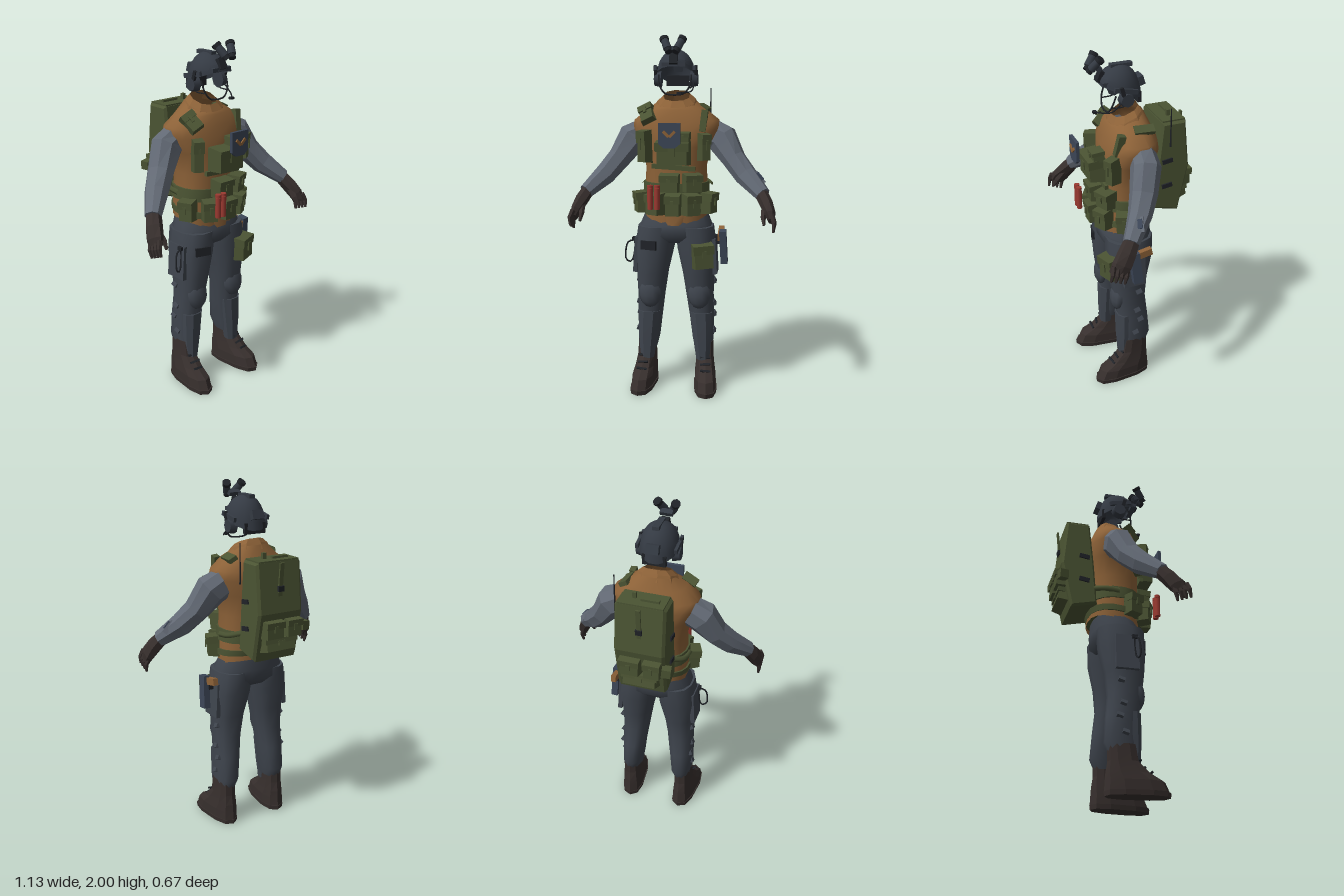
import * as THREE from 'three';
import { toCreasedNormals } from 'three/addons/utils/BufferGeometryUtils.js';

const mat = (name, color, side = THREE.FrontSide) => Object.assign(new THREE.MeshStandardMaterial({ color, side }), { name });
const M = {
  pants: mat('charcoal trousers', 0x3f454e),
  sleeve: mat('slate sleeve', 0x626974),
  jacket: mat('tan jacket', 0x8d6238, THREE.DoubleSide),
  olive: mat('olive webbing', 0x4b5433),
  leather: mat('dark leather', 0x372f2d),
  helmet: mat('helmet grey', 0x343a43, THREE.DoubleSide),
  black: mat('black fittings', 0x202328),
  red: mat('flare red', 0x9c3a31),
  panel: mat('panel blue', 0x3c4657),
};

function add(parent, name, geo, material, pos = [0, 0, 0], rot = [0, 0, 0]) {
  const m = new THREE.Mesh(geo, material);
  m.name = name;
  m.position.set(...pos);
  m.rotation.set(...rot);
  parent.add(m);
  return m;
}
function part(parent, name, pos = [0, 0, 0], rot = [0, 0, 0]) {
  const g = new THREE.Group();
  g.name = name;
  g.position.set(...pos);
  g.rotation.set(...rot);
  parent.add(g);
  return g;
}
const box = (parent, name, size, material, pos, rot) => add(parent, name, new THREE.BoxGeometry(...size), material, pos, rot);
const vec = (a) => new THREE.Vector3(...a);
const tube = (pts, r, closed = false) => new THREE.TubeGeometry(new THREE.CatmullRomCurve3(pts.map(vec), closed), 16, r, 5, closed);

// Skin over rounded cross-sections; each row is [x, y, z, radiusU, radiusV, frontSlope]
function loft(rows, { n = 12, level = true, caps = true, power = 0.85, crease = 0.9 } = {}) {
  const P = [], I = [], c = rows.map((r) => vec(r));
  const soft = (v) => Math.sign(v) * Math.abs(v) ** power;
  rows.forEach((r, i) => {
    const t = c[Math.min(i + 1, c.length - 1)].clone().sub(c[Math.max(i - 1, 0)]);
    if (level) t.set(0, Math.sign(t.y), 0);
    t.normalize();
    const u = t.clone().cross(new THREE.Vector3(0, 0, 1)).normalize(), v = u.clone().cross(t);
    for (let j = 0; j < n; j++) {
      const a = (j + 0.5) / n * Math.PI * 2;
      const p = c[i].clone().addScaledVector(u, r[3] * soft(Math.cos(a))).addScaledVector(v, r[4] * soft(Math.sin(a)));
      P.push(p.x, p.y + (r[5] || 0) * (p.z - r[2]), p.z);
      if (i < rows.length - 1) {
        const k = i * n + j, b = i * n + (j + 1) % n;
        I.push(k, k + n, b, b, k + n, b + n);
      }
    }
  });
  if (caps) {
    const e = (rows.length - 1) * n;
    for (let j = 1; j < n - 1; j++) I.push(0, j, j + 1, e, e + j + 1, e + j);
  }
  const g = new THREE.BufferGeometry();
  g.setAttribute('position', new THREE.Float32BufferAttribute(P, 3));
  g.setIndex(I);
  return toCreasedNormals(g, crease);
}

// Pouch with tapered body, overhanging flap and buckle; front is local +z
function pouch(parent, name, [w, h, d], pos, rot) {
  const g = part(parent, name, pos, rot);
  const body = new THREE.BoxGeometry(w, h, d), p = body.attributes.position;
  for (let i = 0; i < p.count; i++) if (p.getZ(i) > 0) p.setXY(i, p.getX(i) * 0.86, p.getY(i) * 0.9);
  add(g, 'pouchBody', toCreasedNormals(body, 0.1), M.olive);
  box(g, 'pouchFlap', [w * 0.97, h * 0.36, d + 0.012], M.olive, [0, h * 0.33, 0.004], [0.08, 0, 0]);
  box(g, 'pouchTab', [w * 0.2, h * 0.35, 0.008], M.olive, [0, h * 0.1, d / 2 + 0.01]);
  return g;
}

function buildTorso(root) {
  const g = part(root, 'torso');
  add(g, 'jacket', loft([
    [0, 1.0, 0.03, 0.18, 0.145, -0.25], [0, 1.12, 0.03, 0.18, 0.145], [0, 1.28, 0.03, 0.17, 0.145],
    [0, 1.4, 0.025, 0.195, 0.152], [0, 1.49, 0.02, 0.245, 0.15], [0, 1.54, 0.015, 0.24, 0.135],
    [0, 1.6, 0.02, 0.165, 0.115], [0, 1.64, 0.03, 0.105, 0.095, -0.3]], { n: 18, caps: false }), M.jacket);
  add(g, 'collar', loft([[0, 1.615, 0.03, 0.125, 0.105, -0.3], [0, 1.645, 0.035, 0.108, 0.09, -0.4],
    [0, 1.675, 0.03, 0.075, 0.07, -0.4]], { n: 9, caps: false, crease: 0.1 }), M.jacket);
  add(g, 'jacketTongue', loft([[0, 0.94, 0.135, 0.055, 0.05], [0, 1.03, 0.11, 0.11, 0.07]], { n: 8 }), M.jacket);
  add(g, 'belt', loft([[0, 1.13, 0.03, 0.188, 0.153], [0, 1.2, 0.03, 0.184, 0.153]], { n: 18 }), M.olive);
  add(g, 'hipBelt', loft([[0, 1.045, 0.035, 0.19, 0.15, -0.1], [0, 1.08, 0.03, 0.19, 0.153, -0.1]], { n: 18 }), M.olive);

  // Pouch rows
  for (const a of [-1.15, -0.52, 0, 0.52, 1.15])
    pouch(g, 'beltPouch', [0.088, 0.12, 0.08], [0.2 * Math.sin(a), 1.085, 0.03 + 0.185 * Math.cos(a)], [0, a, 0]);
  pouch(g, 'upperBeltPouch', [0.11, 0.1, 0.07], [-0.02, 1.205, 0.205]);
  pouch(g, 'upperBeltPouch', [0.1, 0.1, 0.07], [0.105, 1.205, 0.18], [0, 0.4, 0]);
  pouch(g, 'chestPouch', [0.19, 0.13, 0.09], [0, 1.37, 0.215]);
  pouch(g, 'smallChestPouch', [0.08, 0.06, 0.06], [0.055, 1.455, 0.21]);
  box(g, 'chestStrap', [0.24, 0.025, 0.02], M.olive, [0, 1.29, 0.18], [0, 0, -0.06]);
  pouch(g, 'sideChestPouch', [0.06, 0.18, 0.07], [-0.16, 1.4, 0.16], [0, -0.5, 0]);
  pouch(g, 'sideChestPouch', [0.055, 0.15, 0.07], [0.165, 1.4, 0.16], [0, 0.5, 0]);

  // Shoulder pads, radio and antenna
  pouch(g, 'rightShoulderPad', [0.085, 0.11, 0.035], [-0.155, 1.575, 0.11], [-0.75, -0.4, 0.25]);
  box(g, 'leftShoulderPad', [0.05, 0.025, 0.11], M.olive, [0.155, 1.605, -0.02], [0, -0.1, -0.5]);
  box(g, 'radio', [0.035, 0.12, 0.04], M.olive, [0.16, 1.54, 0.12], [-0.2, 0, -0.1]);
  add(g, 'antenna', new THREE.CylinderGeometry(0.003, 0.005, 0.22, 5), M.black, [0.175, 1.6, -0.165]);

  // Flares
  for (const x of [-0.115, -0.078]) {
    add(g, 'flare', new THREE.CylinderGeometry(0.016, 0.016, 0.115, 8), M.red, [x, 1.13, 0.275]);
    add(g, 'flareCap', new THREE.CylinderGeometry(0.0165, 0.0165, 0.016, 8), M.red, [x, 1.197, 0.275]);
  }

  // Chest panel with stripe
  const shield = new THREE.Shape([[-0.058, 0.065], [0.058, 0.065], [0.058, -0.045], [0.03, -0.068], [-0.03, -0.068], [-0.058, -0.045]].map((p) => new THREE.Vector2(...p)));
  add(g, 'chestPanel', new THREE.ExtrudeGeometry(shield, { depth: 0.018, bevelEnabled: false }), M.panel, [-0.005, 1.478, 0.306]);
  for (const s of [-1, 1])
    box(g, 'panelStripe', [0.042, 0.015, 0.008], M.jacket, [-0.005 + s * 0.016, 1.485, 0.328], [0, 0, s * 0.75]);
}

function buildArm(root, s) {
  const g = part(root, s > 0 ? 'leftArm' : 'rightArm');
  const side = (rows) => rows.map(([x, ...r]) => [x * s, ...r]);
  add(g, 'sleeve', loft(side([[0.19, 1.465, 0, 0.085, 0.07], [0.255, 1.435, 0.01, 0.09, 0.08], [0.325, 1.325, 0.05, 0.066, 0.075],
    [0.395, 1.24, 0.1, 0.062, 0.064], [0.49, 1.15, 0.185, 0.042, 0.045]]), { n: 8, level: false, crease: 0.1 }), M.sleeve);
  add(g, 'glove', loft(side([[0.475, 1.165, 0.17, 0.036, 0.04], [0.51, 1.105, 0.215, 0.037, 0.05],
    [0.532, 1.055, 0.25, 0.03, 0.055], [0.54, 1.02, 0.27, 0.018, 0.045]]), { n: 7, level: false, crease: 0.1 }), M.leather);
  for (let i = 0; i < 4; i++) {
    const z = 0.225 + i * 0.025, y = 1.015 + i * 0.01;
    add(g, 'finger', loft(side([[0.538, y + 0.02, z, 0.015, 0.014], [0.554, y - 0.02, z + 0.012, 0.013, 0.013],
      [0.55, y - 0.063, z + 0.02, 0.007, 0.007]]), { n: 5, level: false, crease: 0.1 }), M.leather);
  }
  add(g, 'thumb', loft(side([[0.5, 1.09, 0.235, 0.018, 0.018], [0.495, 1.045, 0.28, 0.015, 0.015], [0.5, 1.005, 0.305, 0.008, 0.008]]),
    { n: 5, level: false, crease: 0.1 }), M.leather);
  if (s > 0) { // wrist display
    box(g, 'wristDevice', [0.08, 0.03, 0.06], M.sleeve, [0.455, 1.225, 0.13], [0.3, -0.5, -0.75]);
    box(g, 'wristScreen', [0.05, 0.008, 0.04], M.panel, [0.467, 1.24, 0.136], [0.3, -0.5, -0.75]);
  }
}

function buildLeg(root, s) {
  const g = part(root, s > 0 ? 'leftLeg' : 'rightLeg');
  const side = (rows) => rows.map(([x, ...r]) => [x * s, ...r]);
  add(g, 'trouserLeg', loft(side([[0.105, 0.95, 0.05, 0.11, 0.135], [0.122, 0.82, 0.055, 0.112, 0.132], [0.132, 0.68, 0.065, 0.09, 0.11],
    [0.14, 0.55, 0.062, 0.078, 0.094], [0.15, 0.42, 0.045, 0.07, 0.09], [0.158, 0.28, 0.04, 0.06, 0.097], [0.162, 0.22, 0.05, 0.05, 0.08]])), M.pants);
  add(g, 'kneePad', new THREE.SphereGeometry(1, 10, 7).scale(0.066, 0.092, 0.045), M.pants, [s * 0.14, 0.57, 0.13], [-0.1, 0, 0]);
  const shin = loft(side([[0.162, 0.17, 0.1, 0.04, 0.04], [0.158, 0.3, 0.095, 0.056, 0.052], [0.15, 0.45, 0.09, 0.066, 0.058]]), { n: 8, crease: 0.4 });
  add(g, 'shinGuard', shin, M.pants);
  add(g, 'thighPocket', new THREE.BoxGeometry(0.025, 0.2, 0.13), M.pants, [s * 0.222, 0.78, 0.06], [0, 0, s * 0.06]);
  for (const [y, z] of [[0.62, 0.03], [0.49, 0.04], [0.42, 0.02], [0.33, 0.05]])
    box(g, 'strapBuckle', [0.022, 0.025, 0.035], M.pants, [s * 0.217, y, z], [0.3, 0, s * 0.5]);
  // Boot
  const b = part(g, 'boot', [s * 0.165, 0, 0], [0, s * 0.1, 0]);
  add(b, 'bootUpper', loft([[0, 0.025, 0.118, 0.062, 0.172], [0, 0.08, 0.108, 0.062, 0.158], [0, 0.12, 0.075, 0.056, 0.122],
    [0, 0.18, 0.048, 0.05, 0.085], [0, 0.27, 0.04, 0.048, 0.078]], { n: 10, power: 0.75, crease: 0.1 }), M.leather);
  add(b, 'bootSole', loft([[0, 0, 0.12, 0.063, 0.173], [0, 0.026, 0.12, 0.067, 0.176]], { n: 10, power: 0.75, crease: 0.1 }), M.leather);
  for (let i = 0; i < 3; i++) box(b, 'bootLace', [0.06, 0.008, 0.012], M.black, [0, 0.125 + i * 0.03, 0.19 - i * 0.03], [0.8, 0, i % 2 ? 0.2 : -0.2]);
}

function buildHipGear(root) {
  const g = part(root, 'hipGear');
  pouch(g, 'thighPouch', [0.12, 0.14, 0.07], [0.165, 0.795, 0.185], [0, 0.3, 0.06]);
  box(g, 'holster', [0.038, 0.19, 0.055], M.panel, [0.272, 0.83, 0.07], [0.1, 0, 0.05]);
  box(g, 'holsterGrip', [0.03, 0.04, 0.13], M.jacket, [0.255, 0.9, 0.035], [0.2, 0, 0]);
  box(g, 'holsterHanger', [0.05, 0.05, 0.04], M.black, [0.235, 0.87, 0.06]);
  add(g, 'carabiner', tube([[-0.235, 0.86, 0.1], [-0.27, 0.85, 0.11], [-0.278, 0.75, 0.12], [-0.25, 0.74, 0.11]], 0.005, true), M.black);
  box(g, 'carabinerClip', [0.03, 0.02, 0.03], M.black, [-0.23, 0.87, 0.1]);
  box(g, 'thighTool', [0.09, 0.05, 0.02], M.black, [-0.14, 0.85, 0.18], [0, -0.3, 0]);
}

function buildHelmet(root) {
  const g = part(root, 'helmet', [0, 1.79, 0.06]);
  const shell = new THREE.SphereGeometry(1, 14, 7, 0, Math.PI * 2, 0, Math.PI / 2), p = shell.attributes.position;
  for (let i = 0; i < p.count; i++) { // rim rises at the front and drops at the back
    const x = p.getX(i), y = p.getY(i), z = p.getZ(i);
    p.setXYZ(i, x * 0.105, y * 0.138 + 0.4 * z * 0.118 * (1 - y), z * 0.118);
  }
  add(g, 'shell', toCreasedNormals(shell, 0.5), M.helmet);
  box(g, 'crownRidge', [0.035, 0.02, 0.12], M.helmet, [0, 0.132, -0.01]);
  box(g, 'rearBattery', [0.07, 0.05, 0.03], M.helmet, [0, 0.04, -0.115], [0.3, 0, 0]);
  box(g, 'browBand', [0.13, 0.022, 0.03], M.helmet, [0, 0.055, 0.098]);
  box(g, 'napePad', [0.13, 0.06, 0.02], M.black, [0, -0.035, -0.09]);
  for (const s of [-1, 1]) {
    box(g, 'sideRail', [0.016, 0.025, 0.13], M.helmet, [s * 0.106, 0.025, 0.0], [-0.2, 0, 0]);
    add(g, 'earCup', new THREE.CylinderGeometry(0.036, 0.045, 0.04, 8).rotateZ(-s * Math.PI / 2), M.helmet, [s * 0.1, -0.025, -0.005]);
    box(g, 'earBracket', [0.015, 0.06, 0.02], M.black, [s * 0.112, 0.02, 0.02], [0.3, 0, 0]);
    add(g, 'chinStrap', tube([[s * 0.09, 0, 0.05], [s * 0.082, -0.06, 0.07], [s * 0.05, -0.1, 0.08], [0, -0.108, 0.085]], 0.005), M.black);
    add(g, 'napeStrap', tube([[s * 0.085, -0.02, -0.05], [s * 0.085, -0.065, 0.0], [s * 0.08, -0.07, 0.07]], 0.004), M.black);
    // Raised night-vision tube
    const n = part(g, 'visionTube', [s * 0.038, 0.165, 0.138], [-0.65, 0, -s * 0.35]);
    add(n, 'tubeBody', new THREE.CylinderGeometry(0.02, 0.023, 0.075, 8), M.helmet);
    add(n, 'lensRing', new THREE.CylinderGeometry(0.025, 0.025, 0.02, 8), M.black, [0, 0.03, 0]);
    add(n, 'eyePiece', new THREE.CylinderGeometry(0.016, 0.02, 0.03, 8), M.black, [0, -0.045, 0]);
  }
  box(g, 'visionMount', [0.045, 0.06, 0.025], M.black, [0, 0.085, 0.108], [-0.4, 0, 0]);
  box(g, 'visionBridge', [0.07, 0.025, 0.03], M.helmet, [0, 0.135, 0.122], [-0.5, 0, 0]);
  add(g, 'microphoneBoom', tube([[0.1, -0.04, 0.02], [0.095, -0.085, 0.08], [0.04, -0.095, 0.15]], 0.004), M.black);
  box(g, 'microphone', [0.025, 0.012, 0.02], M.black, [0.035, -0.095, 0.15]);
}

function buildPack(root) {
  const g = part(root, 'backpack');
  // Side outline in (z, y), extruded across the back
  const outline = [[-0.145, 1.6], [-0.26, 1.6], [-0.285, 1.34], [-0.23, 1.08], [-0.1, 1.11], [-0.12, 1.36]];
  const bag = new THREE.ExtrudeGeometry(new THREE.Shape(outline.map((p) => new THREE.Vector2(...p))),
    { depth: 0.25, bevelThickness: 0.015, bevelSize: 0.012, bevelSegments: 1 });
  add(g, 'bag', bag.translate(0, 0, -0.125).rotateY(-Math.PI / 2), M.olive);
  box(g, 'lid', [0.25, 0.03, 0.13], M.olive, [0, 1.605, -0.205]);
  box(g, 'topHandle', [0.1, 0.012, 0.022], M.olive, [-0.04, 1.626, -0.215]);
  box(g, 'lidAerial', [0.02, 0.035, 0.02], M.olive, [0.05, 1.635, -0.2]);
  box(g, 'centreStrap', [0.025, 0.27, 0.01], M.olive, [0, 1.475, -0.288], [-0.095, 0, 0]);
  box(g, 'strapBuckle', [0.035, 0.03, 0.014], M.black, [0, 1.47, -0.293], [-0.095, 0, 0]);
  pouch(g, 'rearPouch', [0.12, 0.1, 0.055], [0.05, 1.25, -0.295], [0, Math.PI, 0]);
  pouch(g, 'rearPouch', [0.1, 0.1, 0.055], [-0.075, 1.25, -0.295], [0, Math.PI, 0]);
  pouch(g, 'lowerRearPouch', [0.21, 0.075, 0.06], [0, 1.16, -0.272], [0.2, Math.PI, 0]);
  box(g, 'sidePocket', [0.05, 0.05, 0.05], M.olive, [-0.15, 1.25, -0.29], [0, 0.2, 0.1]);
  for (const s of [-1, 1]) {
    for (const y of [1.39, 1.24]) box(g, 'sideClip', [0.014, 0.025, 0.06], M.black, [s * 0.142, y, -0.165], [0.15, 0, 0]);
    add(g, 'hipStrap', tube([[s * 0.12, 1.2, -0.11], [s * 0.18, 1.18, -0.05], [s * 0.188, 1.17, 0.03]], 0.016), M.olive);
  }
}

export function createModel() {
  const root = new THREE.Group();
  root.name = 'fieldSoldier';
  buildTorso(root);
  add(root, 'trouserSeat', loft([[0, 1.04, 0.025, 0.17, 0.115], [0, 0.96, 0.045, 0.203, 0.14], [0, 0.9, 0.048, 0.21, 0.138],
    [0, 0.86, 0.048, 0.16, 0.1]], { n: 16 }), M.pants);
  for (const s of [-1, 1]) { buildArm(root, s); buildLeg(root, s); }
  buildHipGear(root);
  buildHelmet(root);
  buildPack(root);
  return root;
}
